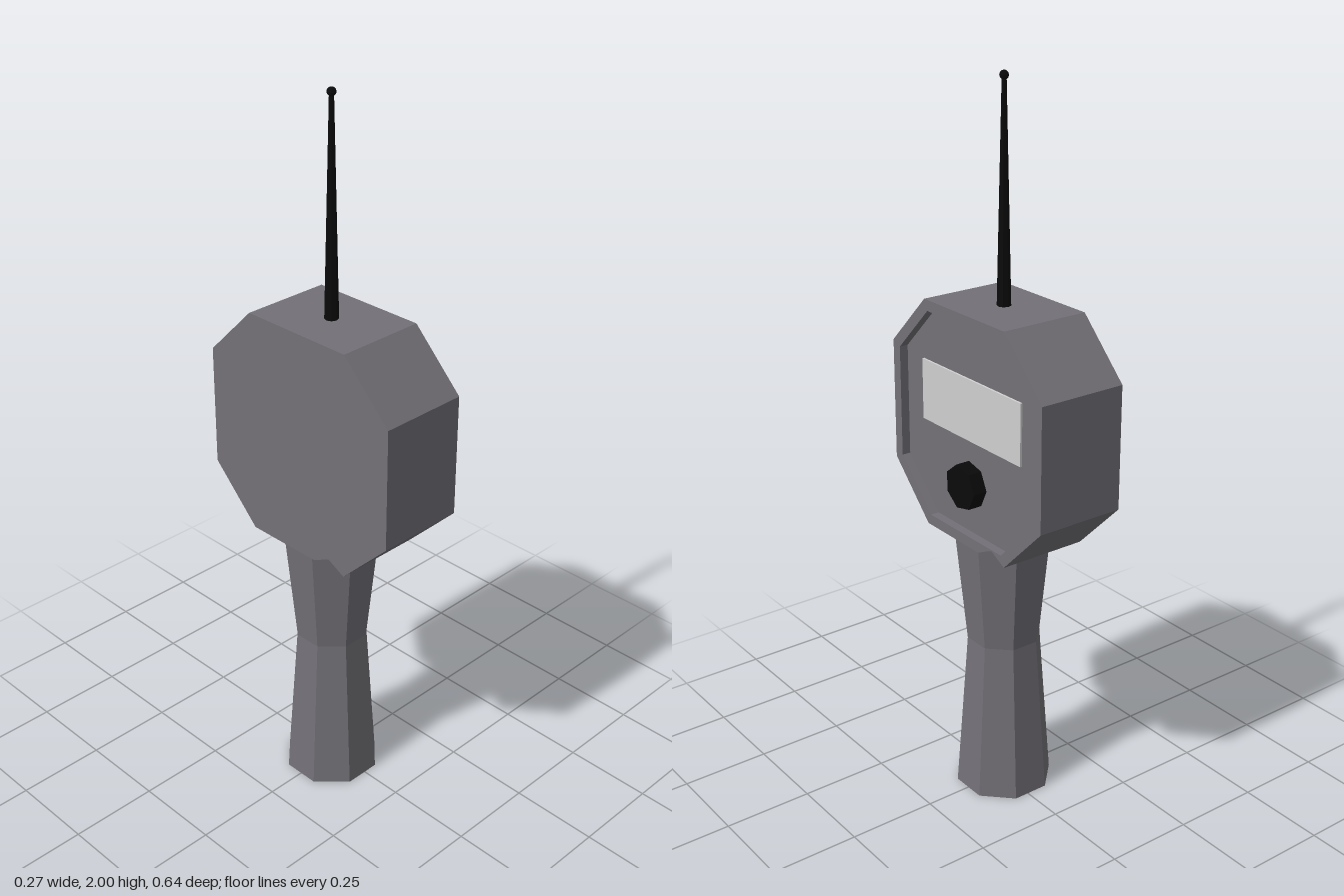
import * as THREE from 'three';

const grey = new THREE.MeshStandardMaterial({ name: 'casing grey', color: 0x737177, flatShading: true });
const black = new THREE.MeshStandardMaterial({ name: 'black plastic', color: 0x0a0a0a, flatShading: true });
const pale = new THREE.MeshStandardMaterial({ name: 'screen pale grey', color: 0xd0d0d0, flatShading: true });

const CX = -0.0075; // middle of the body's thickness
const CY = 1.09; // middle of the octagonal head

// Octagon as [z, y] points, with extra points on the bottom edge for the
// two small hollows beside the grip.
function octagon(half, corner, hollowFront = 0, hollowBack = 0) {
  const bottom = CY - half;
  return [
    [-corner, bottom], [-0.115, bottom + hollowBack], [-0.06, bottom],
    [0.06, bottom], [0.115, bottom + hollowFront], [corner, bottom],
    [half, CY - corner], [half, CY + corner], [corner, CY + half],
    [-corner, CY + half], [-half, CY + corner], [-half, CY - corner],
  ];
}

// Octagonal head with a raised rim round a sunken face on +x
function casingGeometry() {
  const loops = [
    { x: -0.135, pts: octagon(0.32, 0.17, 0.028, 0) },
    { x: 0.12, pts: octagon(0.32, 0.17, 0, 0.028) },
    { x: 0.12, pts: octagon(0.29, 0.157) },
    { x: 0.095, pts: octagon(0.29, 0.157) },
  ];
  const pos = [];
  const put = (loop, i) => pos.push(loop.x, loop.pts[i][1], loop.pts[i][0]);
  const n = loops[0].pts.length;
  for (let k = 0; k < loops.length - 1; k++) {
    const a = loops[k], b = loops[k + 1];
    for (let i = 0; i < n; i++) {
      const j = (i + 1) % n;
      put(a, i); put(b, i); put(b, j);
      put(a, i); put(b, j); put(a, j);
    }
  }
  // Flat caps: the back at -x and the sunken face at +x
  for (const [loop, sign] of [[loops[0], -1], [loops[3], 1]]) {
    const contour = loop.pts.map(([z, y]) => new THREE.Vector2(z, y));
    for (const [a, b, c] of THREE.ShapeUtils.triangulateShape(contour, [])) {
      const p = contour[a], q = contour[b], r = contour[c];
      const area = (q.x - p.x) * (r.y - p.y) - (q.y - p.y) * (r.x - p.x);
      const order = area * sign < 0 ? [a, b, c] : [a, c, b];
      order.forEach((i) => put(loop, i));
    }
  }
  const geo = new THREE.BufferGeometry();
  geo.setAttribute('position', new THREE.Float32BufferAttribute(pos, 3));
  geo.computeVertexNormals();
  return geo;
}

export function createModel() {
  const model = new THREE.Group();
  model.name = 'handheldScanner';
  const add = (name, geo, mat, x, y, z = 0) => {
    const mesh = new THREE.Mesh(geo, mat);
    mesh.name = name;
    mesh.position.set(x, y, z);
    model.add(mesh);
    return mesh;
  };

  add('casing', casingGeometry(), grey, 0, 0);

  // Eight-sided grip, pinched in the middle
  const k = 1 / Math.cos(Math.PI / 8);
  const profile = [[0, 0], [0.126, 0], [0.095, 0.46], [0.124, 0.77], [0.124, 0.795], [0, 0.795]]
    .map(([r, y]) => new THREE.Vector2(r * k, y));
  add('grip', new THREE.LatheGeometry(profile, 8, Math.PI / 8), grey, CX - 0.002, 0);

  // Screen and knob on the sunken face
  add('screen', new THREE.BoxGeometry(0.009, 0.17, 0.424), pale, 0.0965, 1.147);
  const knobGeo = new THREE.CylinderGeometry(0.063, 0.063, 0.045, 7);
  knobGeo.rotateY(Math.PI / 2).rotateZ(-Math.PI / 2);
  // Turn one corner of the knob upward
  knobGeo.rotateX(Math.PI / 2);
  add('knob', knobGeo, black, 0.1125, 0.94);

  // Tapering antenna with a small ball at the tip
  add('antenna', new THREE.CylinderGeometry(0.006, 0.019, 0.59, 8), black, CX - 0.002, 1.695);
  add('antennaTip', new THREE.SphereGeometry(0.012, 8, 6), black, CX - 0.002, 1.988);

  return model;
}
